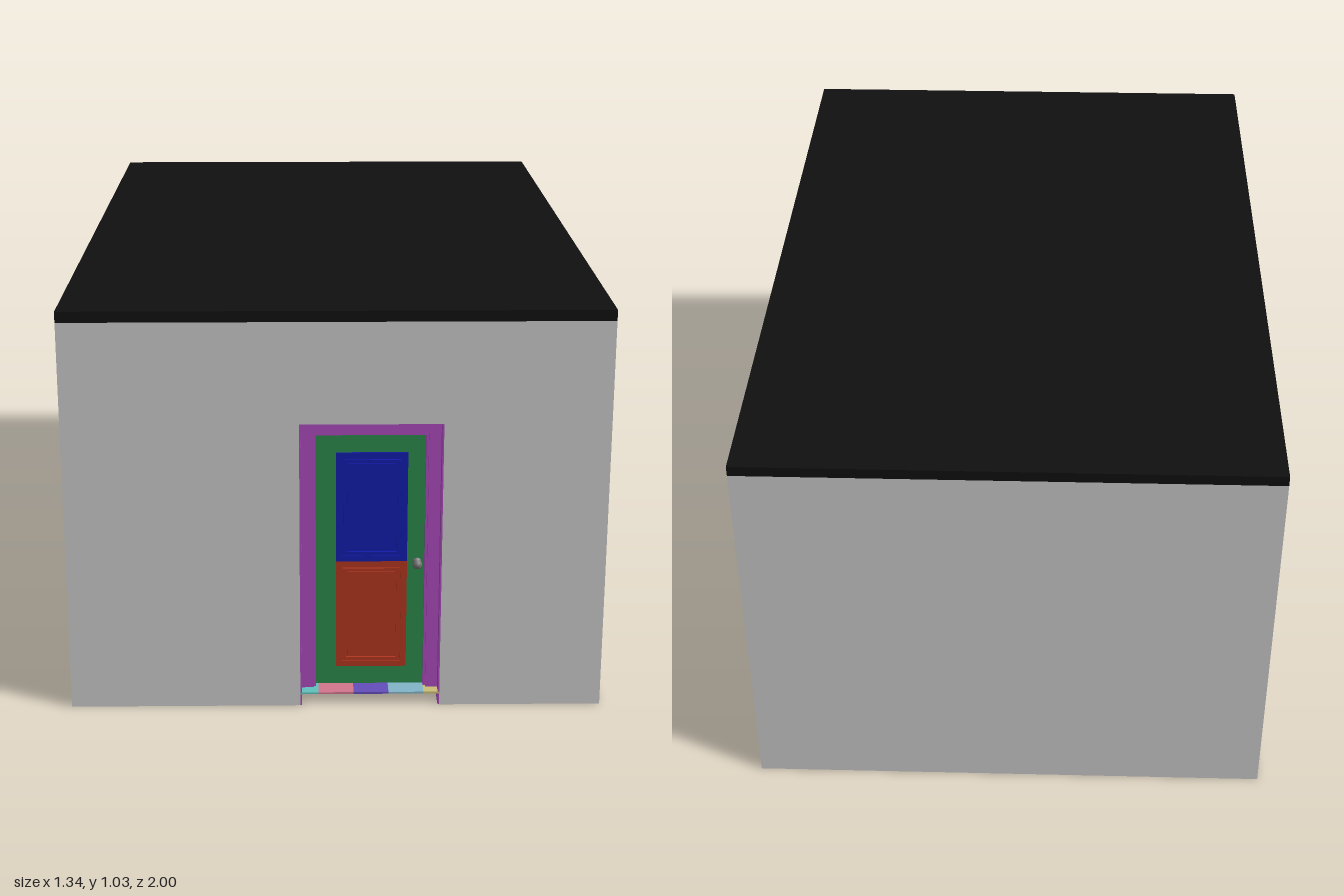
import * as THREE from 'three';

const W = 1.33, L = 2, H = 1, T = 0.1;            // footprint, wall height, wall thickness
const DOOR = { x0: -0.09, x1: 0.26, top: 0.745 }; // doorway opening
const FLOOR = 0.035;

const mat = (color) => new THREE.MeshStandardMaterial({ color });
const wallMat = mat(0xcccccc);
const purple = mat(0xac4bbe);

function add(parent, name, geometry, material, x = 0, y = 0, z = 0) {
  const mesh = new THREE.Mesh(geometry, material);
  mesh.name = name;
  mesh.position.set(x, y, z);
  parent.add(mesh);
  return mesh;
}

// Box given by its minimum and maximum corners
function box(parent, name, material, [x0, y0, z0], [x1, y1, z1]) {
  return add(parent, name, new THREE.BoxGeometry(x1 - x0, y1 - y0, z1 - z0), material,
    (x0 + x1) / 2, (y0 + y1) / 2, (z0 + z1) / 2);
}

const polygon = (pts) => new THREE.Shape(pts.map(([x, y]) => new THREE.Vector2(x, y)));
const rect = (x0, y0, x1, y1) => polygon([[x0, y0], [x1, y0], [x1, y1], [x0, y1]]);
const circle = (y, r) => new THREE.Shape().absarc(0, y, r, 0, Math.PI * 2, false);
const extrude = (shape, depth) =>
  new THREE.ExtrudeGeometry(shape, { depth, bevelEnabled: false, curveSegments: 48 });

function buildWalls() {
  const g = new THREE.Group();
  g.name = 'walls';
  const w = W / 2, l = L / 2;
  const { x0, x1, top } = DOOR;
  const front = polygon([[-w, 0], [x0, 0], [x0, top], [x1, top], [x1, 0], [w, 0], [w, H], [-w, H]]);
  add(g, 'frontWall', extrude(front, T), wallMat, 0, 0, l - T);
  box(g, 'backWall', wallMat, [-w, 0, -l], [w, H, -l + T]);
  box(g, 'leftWall', wallMat, [w - T, 0, -l + T], [w, H, l - T]);
  // Wall with the round window hole
  const side = rect(-l + T, 0, l - T, H);
  side.holes.push(circle(0.505, 0.25));
  add(g, 'rightWall', extrude(side, T).rotateY(-Math.PI / 2), wallMat, -w + T, 0, 0);
  return g;
}

// Staggered floorboards in mixed colours, running front to back
function buildFloor() {
  const g = new THREE.Group();
  g.name = 'floor';
  let seed = 7;
  const rand = () => (seed = (seed * 16807) % 2147483647) / 2147483647;
  const rows = 15, half = 0.66, step = (2 * half) / rows, end = 0.999;
  for (let i = 0; i < rows; i++) {
    const x = -half + i * step;
    let z = -end, next = z + 0.15 + rand() * 0.35;
    while (z < end) {
      const z1 = end - next < 0.1 ? end : next;
      const color = new THREE.Color().setHSL(rand(), 0.25 + rand() * 0.55, 0.28 + rand() * 0.2);
      box(g, 'floorboard', mat(color), [x, FLOOR - 0.005, z], [x + step, FLOOR, z1]);
      z = z1;
      next = z + 0.45;
    }
  }
  return g;
}

function buildDoorFrame() {
  const g = new THREE.Group();
  g.name = 'doorFrame';
  const { x0, x1, top } = DOOR;
  const arch = (t, bottom) => polygon([[x0, bottom], [x0 + t, bottom], [x0 + t, top - t],
    [x1 - t, top - t], [x1 - t, bottom], [x1, bottom], [x1, top], [x0, top]]);
  add(g, 'openingLining', extrude(arch(0.004, 0), T - 0.001), purple, 0, 0, 1 - T);
  add(g, 'doorJamb', extrude(arch(0.034, FLOOR), 0.07), purple, 0, 0, 0.9);
  add(g, 'doorStop', extrude(arch(0.04, FLOOR), 0.062), purple, 0, 0, 0.9);
  return g;
}

// Panel with a sunken groove around a raised field
function buildPanel(name, color, y0, y1, z) {
  const g = new THREE.Group();
  g.name = name;
  const m = mat(color), x0 = 0, x1 = 0.177;
  const ring = (a, b) => {
    const s = rect(x0 + a, y0 + a, x1 - a, y1 - a);
    s.holes.push(rect(x0 + b, y0 + b, x1 - b, y1 - b));
    return s;
  };
  box(g, 'panelBase', m, [x0, y0, z - 0.01], [x1, y1, z + 0.001]);
  add(g, 'panelBorder', extrude(ring(0, 0.015), 0.004), m, 0, 0, z);
  add(g, 'panelMoulding', extrude(ring(0.018, 0.026), 0.006), m, 0, 0, z);
  box(g, 'raisedField', m, [x0 + 0.029, y0 + 0.029, z], [x1 - 0.029, y1 - 0.029, z + 0.004]);
  return g;
}

function buildDoor() {
  const g = new THREE.Group();
  g.name = 'door';
  const z = 0.947;
  box(g, 'doorLeaf', mat(0x2a8a4c), [-0.05, FLOOR, z - 0.04], [0.22, 0.705, z]);
  g.add(buildPanel('upperPanel', 0x121cac, 0.37, 0.656, z));
  g.add(buildPanel('lowerPanel', 0xb23720, 0.084, 0.37, z));
  // Turned knob on a small rose
  const profile = [[0, 0], [0.011, 0], [0.011, 0.003], [0.004, 0.005], [0.004, 0.012],
    [0.01, 0.016], [0.012, 0.021], [0.009, 0.027], [0, 0.029]].map(([r, y]) => new THREE.Vector2(r, y));
  add(g, 'doorKnob', new THREE.LatheGeometry(profile, 24).rotateX(Math.PI / 2), mat(0x777777), 0.202, 0.367, z);
  return g;
}

function buildWindow() {
  const g = new THREE.Group();
  g.name = 'roundWindow';
  const ring = circle(0.505, 0.264);
  ring.holes.push(circle(0.505, 0.215));
  const rim = extrude(ring, 0.008).rotateY(-Math.PI / 2);
  const sleeve = circle(0.505, 0.25);
  sleeve.holes.push(circle(0.505, 0.215));
  const red = mat(0xa81e2e);
  add(g, 'windowRim', rim, red, -W / 2 + 0.001, 0, 0);
  add(g, 'windowSleeve', extrude(sleeve, T).rotateY(-Math.PI / 2), red, -W / 2 + T, 0, 0);
  const glass = new THREE.CylinderGeometry(0.216, 0.216, 0.008, 48).rotateZ(Math.PI / 2);
  add(g, 'windowGlass', glass, mat(0xacacf8), -W / 2 + 0.075, 0.505, 0);
  return g;
}

export function createModel() {
  const model = new THREE.Group();
  model.name = 'house';
  model.add(buildWalls(), buildFloor(), buildDoorFrame(), buildDoor(), buildWindow());
  box(model, 'flatRoof', mat(0x101010), [-W / 2, H, -L / 2], [W / 2, H + 0.027, L / 2]);
  return model;
}
